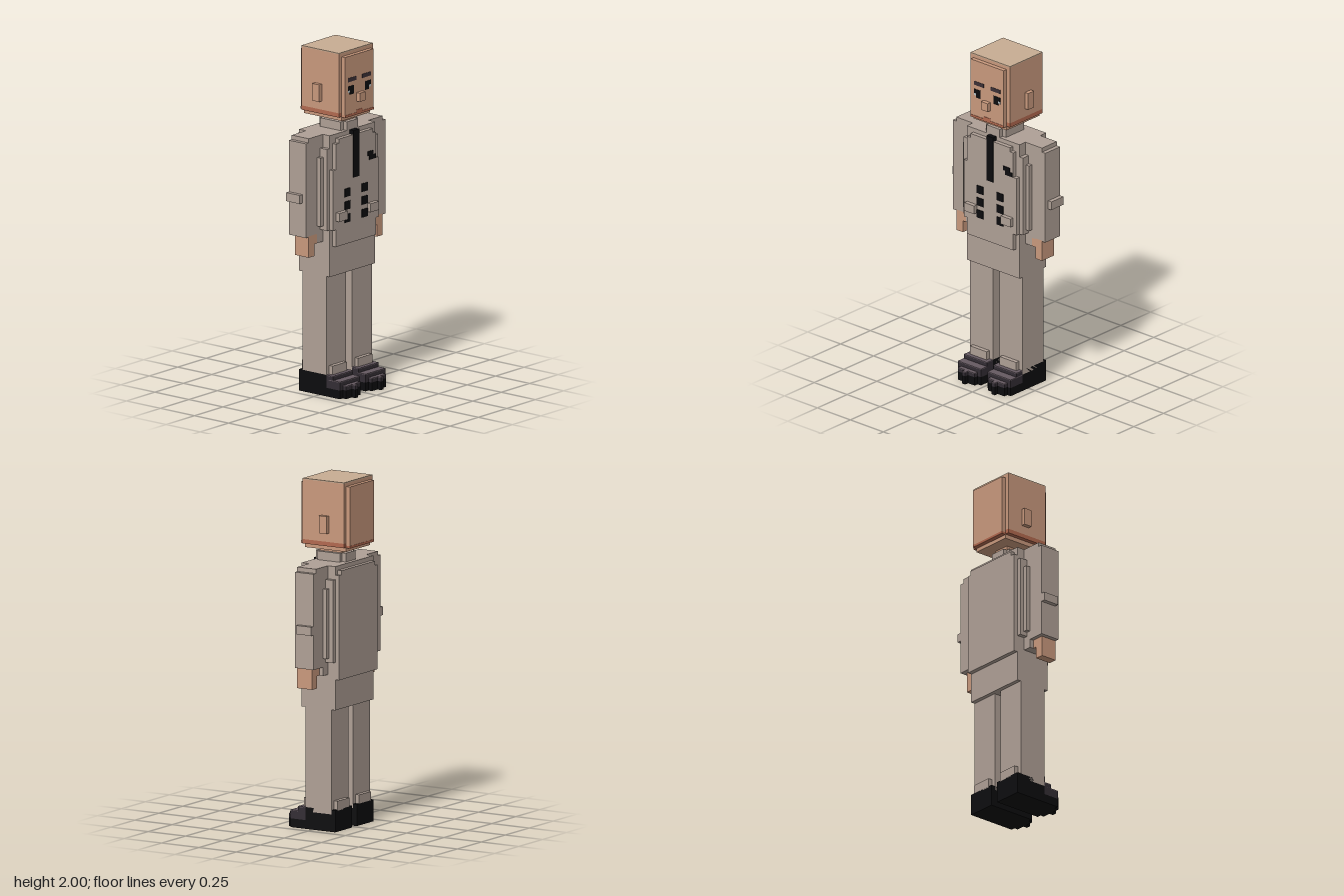
import * as THREE from 'three';

const mat = (name, color) => {
  const m = new THREE.MeshStandardMaterial({ color });
  m.name = name;
  return m;
};

export function createModel() {
  const model = new THREE.Group();
  const skin = mat('skin', 0xc9997d);
  const scalp = mat('pale scalp', 0xc8ad93);
  const lip = mat('lip and jaw', 0xb2694f);
  const cloth = mat('suit cloth', 0xafa096);
  const black = mat('black', 0x0c0c0e);
  const brow = mat('brow', 0x3b3036);
  const toe = mat('toe leather', 0x332d34);
  const toeTop = mat('toe upper', 0x665a62);
  const white = mat('eye white', 0xb9c4c8);

  // Axis-aligned block given by its limits
  const block = (name, m, x0, x1, y0, y1, z0, z1, parent = model) => {
    const mesh = new THREE.Mesh(new THREE.BoxGeometry(x1 - x0, y1 - y0, z1 - z0), m);
    mesh.position.set((x0 + x1) / 2, (y0 + y1) / 2, (z0 + z1) / 2);
    mesh.name = name;
    parent.add(mesh);
    return mesh;
  };
  // Same block on both sides
  const pair = (name, m, x0, x1, ...rest) => {
    block(name + 'Left', m, x0, x1, ...rest);
    block(name + 'Right', m, -x1, -x0, ...rest);
  };
  // Block centred on x = 0
  const mid = (name, m, w, ...rest) => block(name, m, -w, w, ...rest);

  // Head with chamfered edges
  mid('skull', skin, 0.15, 1.65, 1.975, -0.175, 0.1);
  mid('skullSides', skin, 0.125, 1.625, 1.975, -0.2, 0.125);
  mid('crown', skin, 0.15, 1.975, 1.994, -0.175, 0.1);
  mid('scalpTop', scalp, 0.15, 1.994, 2.0, -0.175, 0.1);
  mid('jaw', skin, 0.125, 1.6, 1.625, -0.175, 0.1);
  mid('jawBand', lip, 0.15, 1.625, 1.65, -0.175, 0.1);
  mid('jawFront', lip, 0.125, 1.622, 1.636, -0.202, 0.127);
  mid('mouth', lip, 0.025, 1.636, 1.65, 0.12, 0.127);
  mid('nose', skin, 0.025, 1.7, 1.75, 0.12, 0.15);
  pair('ear', skin, 0.145, 0.175, 1.7, 1.8, -0.075, -0.025);
  pair('eyebrow', brow, 0.025, 0.1, 1.825, 1.848, 0.12, 0.127);
  pair('eyeLash', black, 0.05, 0.1, 1.775, 1.8, 0.12, 0.127);
  pair('pupil', black, 0.05, 0.085, 1.75, 1.775, 0.12, 0.127);
  pair('eyeWhite', white, 0.085, 0.1, 1.762, 1.775, 0.12, 0.127);

  // Neck and collar
  mid('neck', skin, 0.05, 1.55, 1.61, -0.1, 0.05);
  mid('collar', cloth, 0.075, 1.52, 1.575, -0.1, 0.05);
  mid('collarFrontBack', cloth, 0.05, 1.52, 1.575, -0.125, 0.075);

  // Jacket: core, plus stepped front and back panels
  mid('jacketCore', cloth, 0.2, 0.875, 1.525, -0.15, 0.075);
  const panels = [[0.175, 0.875, 0.975], [0.2, 0.975, 1.325], [0.175, 1.325, 1.475], [0.15, 1.475, 1.5]];
  for (const [w, y0, y1] of panels) {
    mid('jacketFront', cloth, w, y0, y1, 0.07, 0.1);
    mid('jacketBack', cloth, w === 0.15 ? 0.175 : 0.2, y0, y1, -0.175, -0.145);
  }
  pair('jacketSide', cloth, 0.195, 0.225, 0.975, 1.45, -0.15, 0.075);
  pair('jacketSideInner', cloth, 0.22, 0.25, 1.0, 1.4, -0.125, 0.05);
  pair('pocketFlap', cloth, 0.1, 0.175, 1.025, 1.075, 0.09, 0.125);

  // Tie, buttons and chest badge
  mid('tie', black, 0.025, 1.25, 1.525, 0.07, 0.104);
  for (const y of [1.0, 1.075, 1.15]) pair('button', black, 0.05, 0.1, y, y + 0.048, 0.097, 0.104);
  block('badge', black, 0.1, 0.15, 1.35, 1.375, 0.097, 0.104);
  block('badgeLower', black, 0.115, 0.17, 1.325, 1.35, 0.097, 0.104);

  // Arms and hands
  pair('sleeve', cloth, 0.25, 0.35, 0.95, 1.5, -0.1, 0.025);
  pair('sleeveInner', cloth, 0.2, 0.25, 0.9, 1.5, -0.1, 0.025);
  pair('shoulder', cloth, 0.2, 0.325, 1.5, 1.525, -0.1, 0.025);
  pair('elbowPatch', cloth, 0.345, 0.375, 1.15, 1.2, -0.1, 0);
  pair('palm', skin, 0.25, 0.325, 0.9, 0.955, -0.075, 0.025);
  pair('fingers', skin, 0.275, 0.325, 0.83, 0.9, -0.075, 0.025);

  // Trousers
  mid('hips', cloth, 0.2, 0.7, 0.9, -0.15, 0.075);
  pair('leg', cloth, 0.025, 0.2, 0.1, 0.71, -0.125, 0.05);
  pair('trouserCuff', cloth, 0.05, 0.175, 0.12, 0.175, -0.15, 0.075);

  // Shoes with stepped toes
  pair('shoeHeel', black, 0.025, 0.2, 0, 0.125, -0.15, 0.05);
  const steps = [[0.025, 0.2, 0.125, 0.1], [0.025, 0.2, 0.1, 0.15], [0.05, 0.175, 0.075, 0.175]];
  for (const [x0, x1, h, z] of steps) {
    pair('sole', black, x0, x1, 0, 0.05, 0.05, z);
    pair('toe', toe, x0, x1, 0.05, h - 0.005, 0.05, z);
    pair('toeTop', toeTop, x0, x1, h - 0.005, h, 0.05, z);
  }
  pair('toeTip', black, 0.1, 0.125, 0, 0.05, 0.17, 0.2);
  pair('toeTipUpper', toe, 0.1, 0.125, 0.05, 0.07, 0.17, 0.2);
  pair('toeTipTop', toeTop, 0.1, 0.125, 0.07, 0.075, 0.17, 0.2);

  return model;
}
